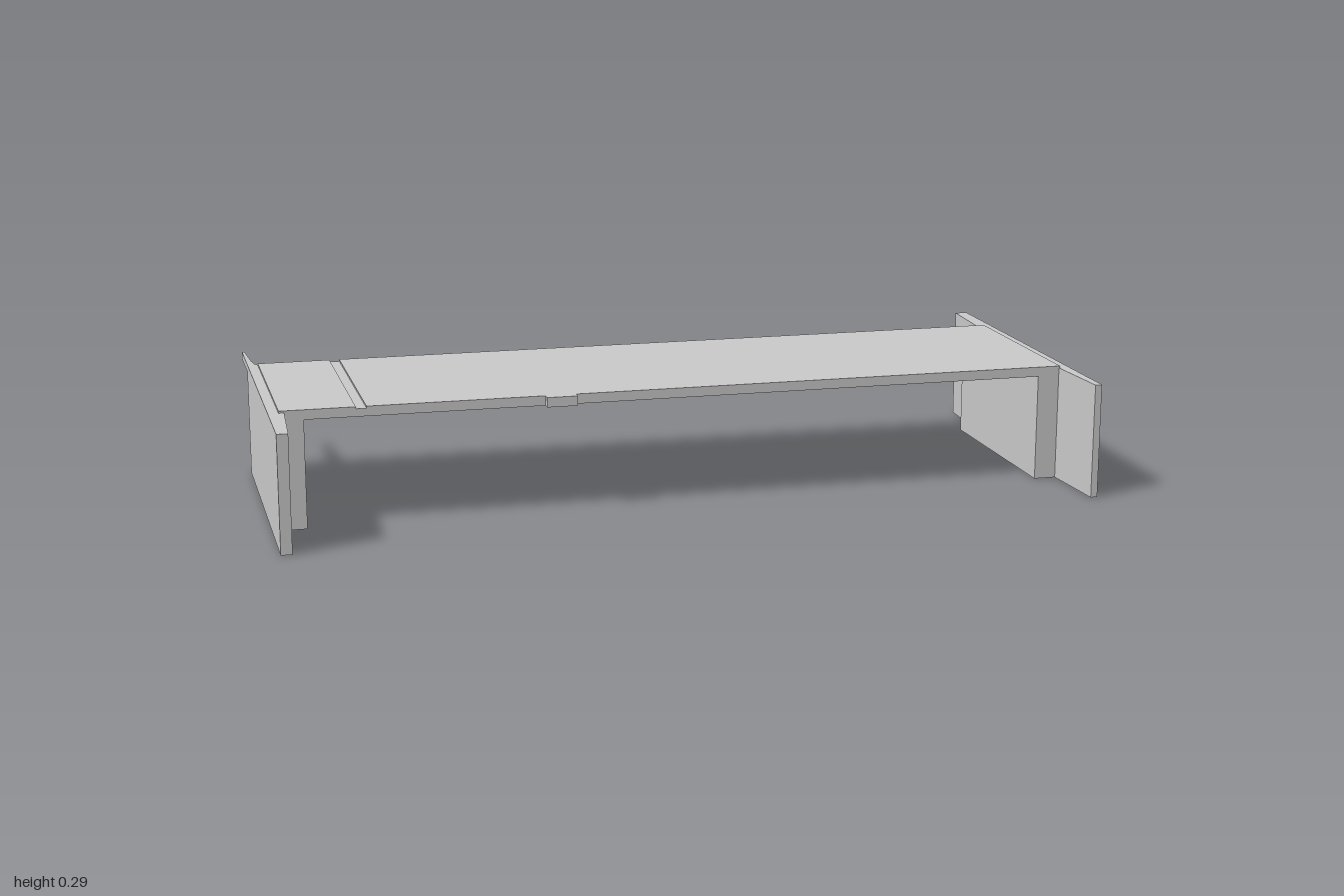
import * as THREE from 'three';

const material = new THREE.MeshStandardMaterial({ color: 0xcccccc, flatShading: true });

function addMesh(group, name, geometry) {
  const mesh = new THREE.Mesh(geometry, material);
  mesh.name = name;
  group.add(mesh);
  return mesh;
}

function polygon(points) {
  return new THREE.Shape(points.map(([x, y]) => new THREE.Vector2(x, y)));
}

// Raises a plan outline of [x, z] points from bottom to top
function raisePlan(points, bottom, top) {
  return new THREE.ExtrudeGeometry(polygon(points), { depth: top - bottom, bevelEnabled: false })
    .rotateX(Math.PI / 2)
    .translate(0, top, 0);
}

export function createModel() {
  const model = new THREE.Group();
  model.name = 'bridge';

  const wallTop = 0.284, deckTop = 0.289, deckBottom = 0.265;
  const front = 0.257, back = -0.263;

  // Deck and both abutments as one portal section, with a shallow joint groove
  const section = [
    [-0.975, 0], [-0.917, 0], [-0.917, deckBottom], [0.917, deckBottom], [0.917, 0], [0.975, 0],
    [0.975, deckTop], [-0.77, deckTop], [-0.77, 0.284], [-0.795, 0.284], [-0.795, deckTop], [-0.975, deckTop],
  ];
  addMesh(model, 'deckAndAbutments',
    new THREE.ExtrudeGeometry(polygon(section), { depth: front - back, bevelEnabled: false })
      .translate(0, 0, back));

  // Small tab on the front edge of the deck
  addMesh(model, 'deckTab', new THREE.BoxGeometry(0.075, deckTop - deckBottom, 0.03))
    .position.set(-0.305, (deckTop + deckBottom) / 2, 0.262);

  // Tapered end walls, one full length and one stopping at the deck's back edge
  addMesh(model, 'rightEndWall', raisePlan(
    [[1, -0.458], [1, 0.455], [0.983, 0.455], [0.972, front], [0.96, back], [0.969, -0.458]], 0, wallTop));
  addMesh(model, 'leftEndWall', raisePlan(
    [[-1, -0.285], [-1, 0.455], [-0.973, 0.455], [-0.962, front], [-0.972, back], [-0.982, -0.285]], 0, wallTop));

  // Thin coping continuing behind the shorter wall
  addMesh(model, 'copingStrip', raisePlan(
    [[-1, -0.435], [-1, -0.28], [-0.981, -0.28], [-0.987, -0.32], [-0.994, -0.435]], 0.265, wallTop));

  return model;
}
